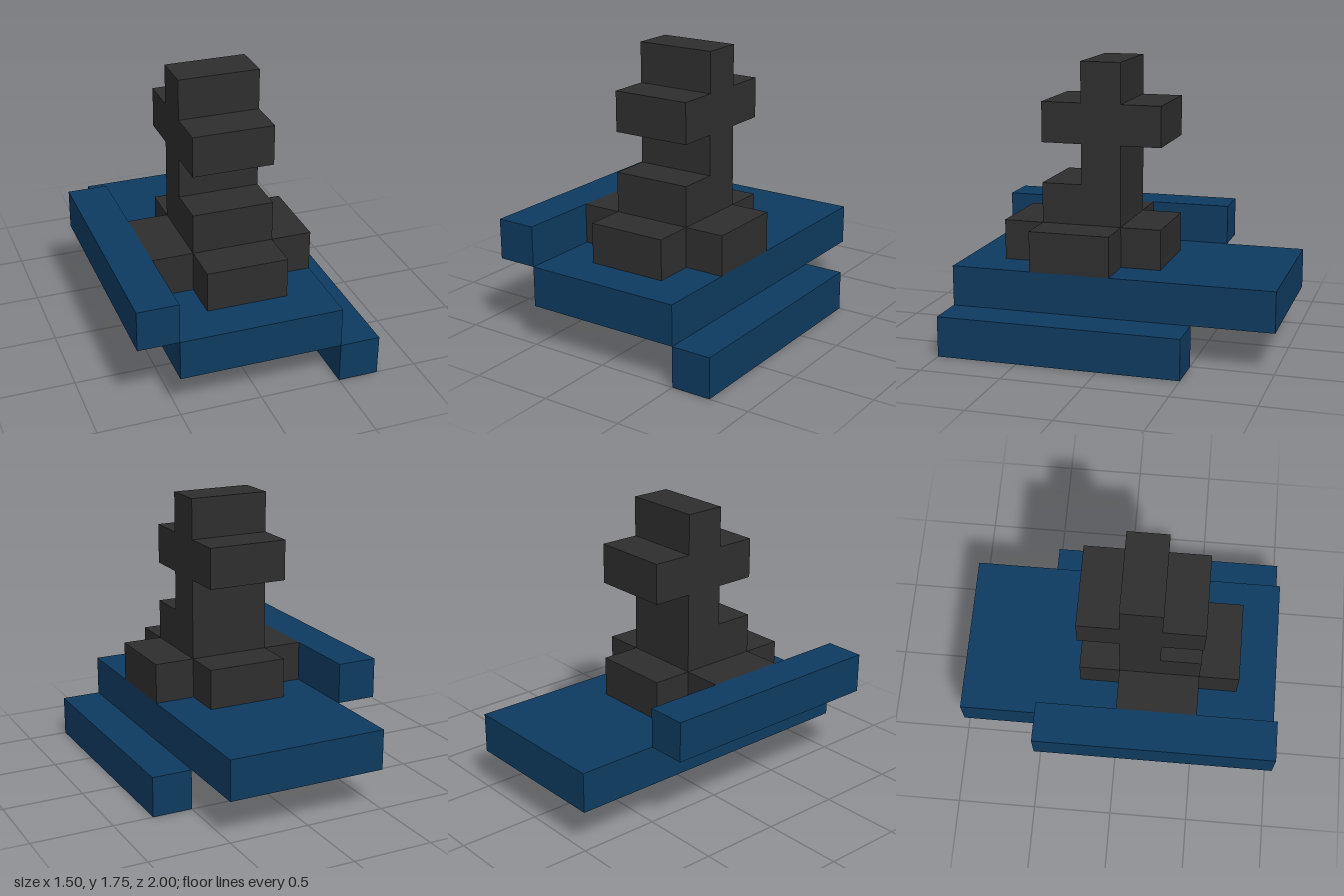
import * as THREE from 'three';

export function createModel() {
  const model = new THREE.Group();
  const blue = new THREE.MeshStandardMaterial({ color: 0x0e3b60 });
  blue.name = 'navy blue';
  const charcoal = new THREE.MeshStandardMaterial({ color: 0x2e2e2e });
  charcoal.name = 'charcoal';

  function add(name, geometry, material) {
    const mesh = new THREE.Mesh(geometry, material);
    mesh.name = name;
    model.add(mesh);
  }

  // Box given by its lower and upper corners
  function block(name, [x0, y0, z0], [x1, y1, z1], material) {
    const geometry = new THREE.BoxGeometry(x1 - x0, y1 - y0, z1 - z0);
    geometry.translate((x0 + x1) / 2, (y0 + y1) / 2, (z0 + z1) / 2);
    add(name, geometry, material);
  }

  // Deck with a raised rail on one side and a dropped rail on the other
  block('deck', [-0.5, 0.25, -1], [0.5, 0.5, 1], blue);
  block('raisedRail', [-0.75, 0.5, -0.5], [-0.5, 0.75, 1], blue);
  block('droppedRail', [0.5, 0, -0.5], [0.75, 0.25, 1], blue);

  // Tower: stepped side profile as (z, y), extruded across x
  const profile = [
    [-0.25, 0.5], [0.75, 0.5], [0.75, 0.75], [0.5, 0.75], [0.5, 1], [0.25, 1],
    [0.25, 1.25], [0.5, 1.25], [0.5, 1.5], [0.25, 1.5], [0.25, 1.75], [0, 1.75],
    [0, 1.5], [-0.25, 1.5], [-0.25, 1.25], [0, 1.25], [0, 0.75], [-0.25, 0.75],
  ];
  const shape = new THREE.Shape(profile.map(([z, y]) => new THREE.Vector2(z, y)));
  const tower = new THREE.ExtrudeGeometry(shape, { depth: 0.5, bevelEnabled: false });
  tower.rotateY(-Math.PI / 2).translate(0.25, 0, 0);
  add('tower', tower, charcoal);

  // Side feet completing the cross-shaped base
  block('rightFoot', [-0.5, 0.5, 0], [-0.25, 0.75, 0.5], charcoal);
  block('leftFoot', [0.25, 0.5, 0], [0.5, 0.75, 0.5], charcoal);

  return model;
}
